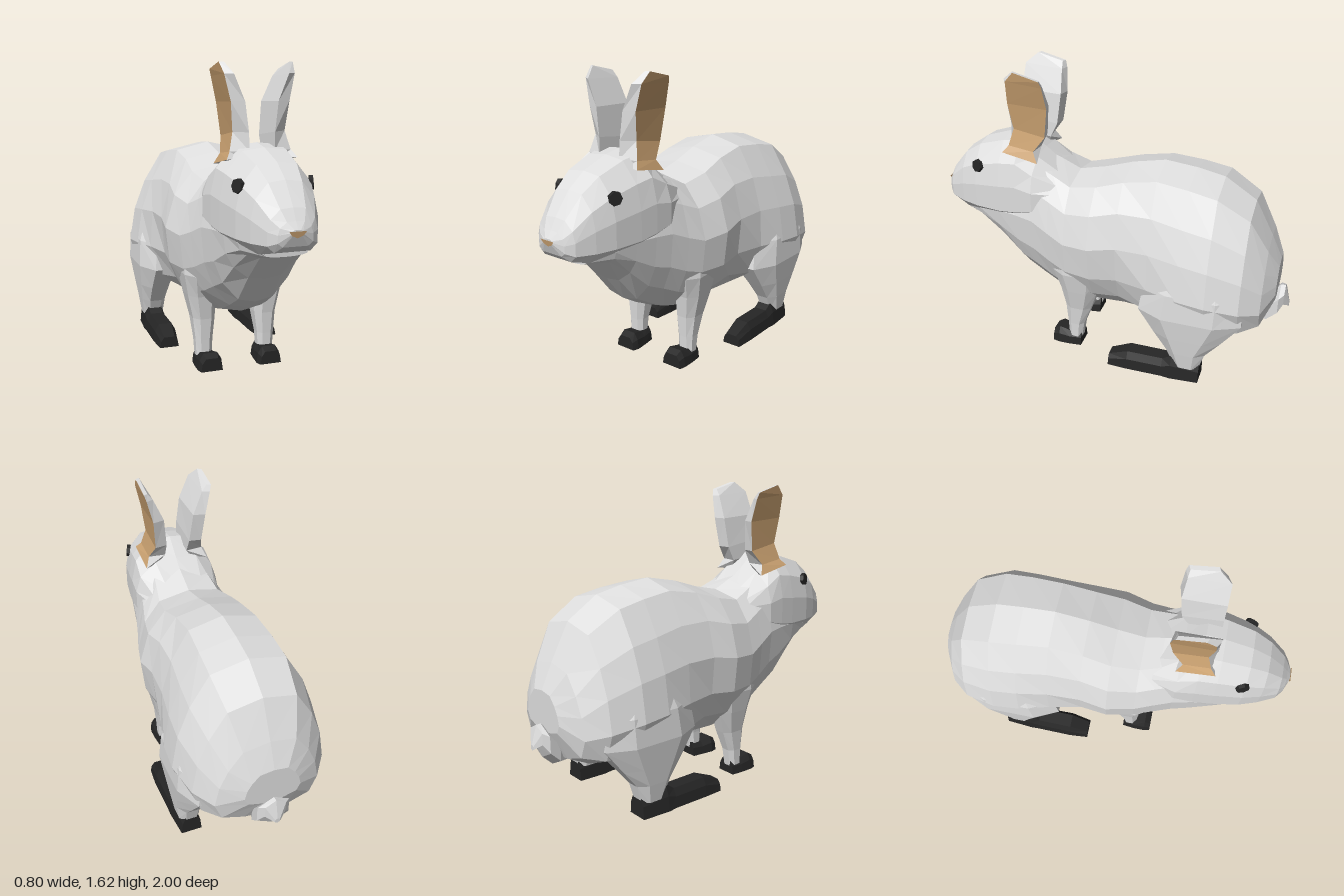
import * as THREE from 'three';

const material = (name, color, extra = {}) =>
  Object.assign(new THREE.MeshStandardMaterial({ color, flatShading: true, ...extra }), { name });

// Skin closed rings of points with flat facets; columns chosen by isAccent use the second material
function loft(rings, isAccent = () => false) {
  const tris = [[], []];
  const n = rings[0].length;
  for (let i = 0; i < rings.length - 1; i++) {
    for (let j = 0; j < n; j++) {
      const k = (j + 1) % n;
      const [a, b, c, d] = [rings[i][j], rings[i][k], rings[i + 1][k], rings[i + 1][j]];
      tris[isAccent(j) ? 1 : 0].push([a, b, c], [a, c, d]);
    }
  }
  const first = rings[0], last = rings[rings.length - 1];
  for (let j = 1; j < n - 1; j++) {
    tris[0].push([first[0], first[j + 1], first[j]], [last[0], last[j], last[j + 1]]);
  }
  // Turn the facets outward
  let volume = 0;
  for (const [a, b, c] of tris.flat()) volume += a.dot(b.clone().cross(c));
  const points = tris.flat().flatMap(t => (volume < 0 ? [t[0], t[2], t[1]] : t));
  const geometry = new THREE.BufferGeometry().setFromPoints(points);
  geometry.computeVertexNormals();
  geometry.addGroup(0, tris[0].length * 3, 0);
  geometry.addGroup(tris[0].length * 3, tris[1].length * 3, 1);
  return geometry;
}

// Symmetric rings along z: each section is [z, top, bottom, halfWidth]
function spineRings(sections, profileAt) {
  return sections.map(([z, top, bottom, w]) => {
    const half = profileAt(z);
    const mirrored = half.slice(1, -1).reverse().map(([x, f]) => [-x, f]);
    return [...half, ...mirrored]
      .map(([x, f]) => new THREE.Vector3(x * w, top + (bottom - top) * f, z));
  });
}

// Half outlines as [width fraction, fraction from top]: the chest is widest high up, the haunch low down
const CHEST = [[0, 0], [0.56, 0.045], [0.85, 0.2], [1, 0.42], [0.94, 0.66], [0.75, 0.83], [0.4, 0.97], [0, 1]];
const HAUNCH = [[0, 0], [0.5, 0.05], [0.76, 0.25], [0.92, 0.45], [1, 0.68], [0.86, 0.88], [0.42, 0.97], [0, 1]];
const HEAD = [[0, 0], [0.5, 0.03], [0.88, 0.25], [1, 0.52], [1, 0.84], [0.72, 1], [0, 1]];
function bodyProfile(z) {
  const t = THREE.MathUtils.smoothstep(-z, 0.05, 0.42);
  return CHEST.map(([x, f], i) => [
    THREE.MathUtils.lerp(x, HAUNCH[i][0], t), THREE.MathUtils.lerp(f, HAUNCH[i][1], t)]);
}

// Legs: sections [y, x0, x1, z0, z1], rectangles with cut corners
const legRings = (sections, s) => sections.map(([y, x0, x1, z0, z1]) => {
  const a = (x1 - x0) * 0.25, b = (z1 - z0) * 0.25;
  return [[x0 + a, z0], [x1 - a, z0], [x1, z0 + b], [x1, z1 - b],
    [x1 - a, z1], [x0 + a, z1], [x0, z1 - b], [x0, z0 + b]]
    .map(([x, z]) => new THREE.Vector3(s * x, y, z));
});

// Feet: sections [z, x0, x1, y0, y1], flat soles and narrower tops
const footRings = (sections, s) => sections.map(([z, x0, x1, y0, y1]) => {
  const w = x1 - x0, ym = y0 + (y1 - y0) * 0.6;
  return [[x0, y0], [x1, y0], [x1 - 0.06 * w, ym], [x1 - 0.22 * w, y1],
    [x0 + 0.22 * w, y1], [x0 + 0.06 * w, ym]]
    .map(([x, y]) => new THREE.Vector3(s * x, y, z));
});

export function createModel() {
  const fur = material('light grey fur', 0xdedede);
  const black = material('black feet and eyes', 0x262626);
  const tan = material('tan skin', 0xcca372, { side: THREE.DoubleSide });

  const model = new THREE.Group();
  model.name = 'rabbit';
  const add = (name, geometry, mat) => {
    const mesh = new THREE.Mesh(geometry, mat);
    mesh.name = name;
    model.add(mesh);
    return mesh;
  };

  // Body from throat to rump
  add('body', loft(spineRings([
    [0.87, 0.78, 0.75, 0.11], [0.74, 0.86, 0.715, 0.185], [0.62, 1.0, 0.58, 0.215],
    [0.5, 1.1, 0.43, 0.235], [0.4, 1.13, 0.37, 0.255], [0.3, 1.09, 0.32, 0.28],
    [0.2, 1.045, 0.295, 0.31], [0.05, 1.08, 0.28, 0.345], [-0.1, 1.13, 0.28, 0.33],
    [-0.28, 1.168, 0.275, 0.355], [-0.45, 1.15, 0.28, 0.39], [-0.6, 1.12, 0.28, 0.4],
    [-0.77, 1.01, 0.29, 0.36], [-0.87, 0.82, 0.34, 0.28], [-0.93, 0.69, 0.48, 0.15],
  ], bodyProfile)), [fur, fur]);

  // Head, sinking into the neck
  add('head', loft(spineRings([
    [0.24, 1.03, 0.9, 0.2], [0.4, 1.15, 0.81, 0.245], [0.5, 1.235, 0.765, 0.238],
    [0.6, 1.22, 0.75, 0.225], [0.75, 1.17, 0.755, 0.2], [0.85, 1.1, 0.765, 0.165],
    [0.94, 0.99, 0.79, 0.122], [0.972, 0.935, 0.82, 0.085], [0.995, 0.9, 0.875, 0.03],
  ], () => HEAD)), [fur, fur]);

  // Nose
  const noseShape = new THREE.Shape([[-0.042, 0.014], [-0.028, -0.006], [0, -0.018], [0.028, -0.006], [0.042, 0.014]]
    .map(p => new THREE.Vector2(...p)));
  const nose = add('nose', new THREE.ShapeGeometry(noseShape), tan);
  nose.position.set(0, 0.88, 0.997);
  nose.rotation.x = 0.2;

  // Tail
  add('tail', loft([
    [-0.8, 0.35, 0.06, 0.05], [-0.89, 0.38, 0.1, 0.085],
    [-0.945, 0.435, 0.1, 0.088], [-0.97, 0.462, 0.065, 0.06], [-0.998, 0.41, 0.015, 0.015],
  ].map(([z, y, rx, ry]) => Array.from({ length: 6 }, (_, i) => {
    const a = i * Math.PI / 3 + Math.PI / 6;
    return new THREE.Vector3(rx * Math.cos(a), y + ry * Math.sin(a), z);
  }))), [fur, fur]);

  for (const s of [1, -1]) {
    const side = s > 0 ? 'left' : 'right';

    // Ear with tan outer face: [y, rise to the front, outer x, inner x,
    // outer front z, outer back z, inner front z, inner back z]
    add(side + 'Ear', loft([
      [1.125, 0.04, 0.182, 0.1, 0.58, 0.38, 0.56, 0.42], [1.18, 0.02, 0.158, 0.065, 0.55, 0.41, 0.575, 0.4],
      [1.26, 0.03, 0.135, 0.067, 0.525, 0.35, 0.57, 0.36], [1.425, 0.01, 0.15, 0.085, 0.545, 0.325, 0.565, 0.34],
      [1.55, 0.015, 0.18, 0.14, 0.535, 0.335, 0.56, 0.35], [1.585, 0.035, 0.19, 0.168, 0.485, 0.345, 0.495, 0.355],
    ].map(([y, rise, xo, xi, of, ob, nf, nb]) =>
      [[xo, y + rise, of], [xo, y, ob], [xi, y, nb], [xi, y + rise, nf]]
        .map(([x, h, z]) => new THREE.Vector3(s * x, h, z))), j => j === 0), [fur, tan]);

    // Eye
    const eye = add(side + 'Eye', new THREE.CylinderGeometry(0.035, 0.037, 0.02, 7), black);
    eye.position.set(s * 0.183, 1.063, 0.735);
    eye.quaternion.setFromUnitVectors(new THREE.Vector3(0, 1, 0),
      new THREE.Vector3(s * 0.9, 0.1, 0.36).normalize());

    // Hind leg and long foot
    add(side + 'HindLeg', loft(legRings([
      [0.74, 0.1, 0.33, -0.72, -0.34], [0.58, 0.12, 0.385, -0.79, -0.26],
      [0.43, 0.14, 0.394, -0.79, -0.235], [0.3, 0.2, 0.378, -0.69, -0.325],
      [0.2, 0.225, 0.365, -0.61, -0.395], [0.1, 0.235, 0.35, -0.58, -0.44],
    ], s)), [fur, fur]);
    add(side + 'HindFoot', loft(footRings([
      [-0.585, 0.235, 0.35, 0.02, 0.13], [-0.43, 0.228, 0.362, 0.02, 0.155],
      [-0.38, 0.228, 0.362, 0.025, 0.125], [-0.18, 0.228, 0.365, 0.025, 0.125],
      [-0.07, 0.245, 0.355, 0.02, 0.08],
    ], s)), [black, black]);

    // Front leg and foot
    add(side + 'FrontLeg', loft(legRings([
      [0.72, 0.1, 0.28, 0.03, 0.27], [0.52, 0.11, 0.288, 0.0, 0.285],
      [0.4, 0.11, 0.265, 0.035, 0.25], [0.27, 0.115, 0.237, 0.08, 0.23],
      [0.15, 0.13, 0.225, 0.125, 0.222], [0.05, 0.135, 0.22, 0.14, 0.217],
    ], s)), [fur, fur]);
    add(side + 'FrontFoot', loft(footRings([
      [0.14, 0.115, 0.228, 0.005, 0.085], [0.21, 0.105, 0.235, 0.005, 0.08],
      [0.275, 0.098, 0.236, 0.005, 0.095], [0.31, 0.108, 0.228, 0.005, 0.075],
    ], s)), [black, black]);
  }
  return model;
}
